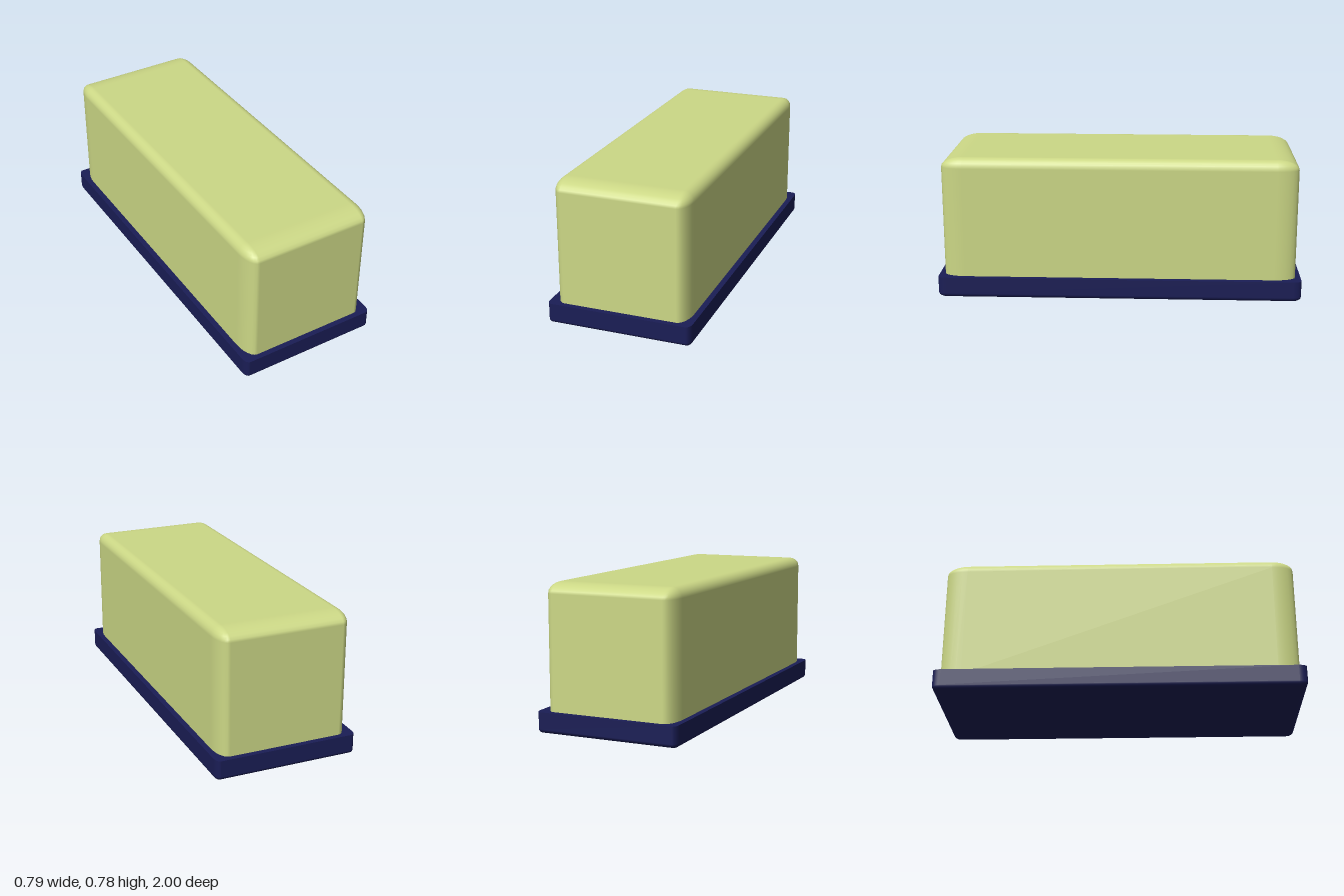
import * as THREE from 'three';

// Box with a flat sharp base at y = 0 and elliptical rounding on its top and upright edges.
function roundedBlock(hx, hz, height, rx, ry, rz) {
  const steps = 6, pos = [], nor = [], idx = [];
  const n = 4 * (steps + 1);
  const addRing = (t, y, capNormal) => {
    const start = pos.length / 3;
    for (let q = 0; q < 4; q++) {
      const sx = q === 0 || q === 3 ? 1 : -1, sz = q < 2 ? 1 : -1;
      for (let i = 0; i <= steps; i++) {
        const a = (q + i / steps) * Math.PI / 2;
        const cx = Math.cos(a) * Math.cos(t), cz = Math.sin(a) * Math.cos(t);
        pos.push(sx * (hx - rx) + rx * cx, y, sz * (hz - rz) + rz * cz);
        const v = capNormal ?? new THREE.Vector3(cx / rx, Math.sin(t) / ry, cz / rz).normalize();
        nor.push(v.x, v.y, v.z);
      }
    }
    return start;
  };
  const cap = (ring, y, dir) => {
    const c = pos.length / 3;
    pos.push(0, y, 0);
    nor.push(0, dir, 0);
    for (let j = 0; j < n; j++) {
      const a = ring + j, b = ring + (j + 1) % n;
      if (dir > 0) idx.push(c, b, a);
      else idx.push(c, a, b);
    }
  };

  // Upright wall followed by the rounded shoulder
  const rings = [addRing(0, 0)];
  for (let k = 0; k <= steps; k++) {
    const t = k / steps * Math.PI / 2;
    rings.push(addRing(t, height - ry + ry * Math.sin(t)));
  }
  for (let k = 0; k < rings.length - 1; k++) {
    for (let j = 0; j < n; j++) {
      const a = rings[k] + j, b = rings[k] + (j + 1) % n;
      const c = rings[k + 1] + j, d = rings[k + 1] + (j + 1) % n;
      idx.push(a, c, b, b, c, d);
    }
  }
  cap(rings[rings.length - 1], height, 1);
  cap(addRing(0, 0, new THREE.Vector3(0, -1, 0)), 0, -1);

  const g = new THREE.BufferGeometry();
  g.setAttribute('position', new THREE.Float32BufferAttribute(pos, 3));
  g.setAttribute('normal', new THREE.Float32BufferAttribute(nor, 3));
  g.setIndex(idx);
  return g;
}

export function createModel() {
  const group = new THREE.Group();
  group.name = 'butterDish';
  const add = (name, geometry, color) => {
    const mesh = new THREE.Mesh(geometry, new THREE.MeshStandardMaterial({ color }));
    mesh.name = name;
    group.add(mesh);
  };

  // Tray: the block turned over, so its rounding is underneath
  const trayTop = 0.115;
  add('tray', roundedBlock(0.395, 1, trayTop, 0.025, 0.025, 0.045)
    .rotateX(Math.PI).translate(0, trayTop, 0), 0x1a1d55);

  // Cover: rests slightly sunk into the tray
  const coverBase = 0.1;
  add('cover', roundedBlock(0.364, 0.97, 0.78 - coverBase, 0.055, 0.055, 0.12)
    .translate(0, coverBase, 0), 0xccd886);

  return group;
}
